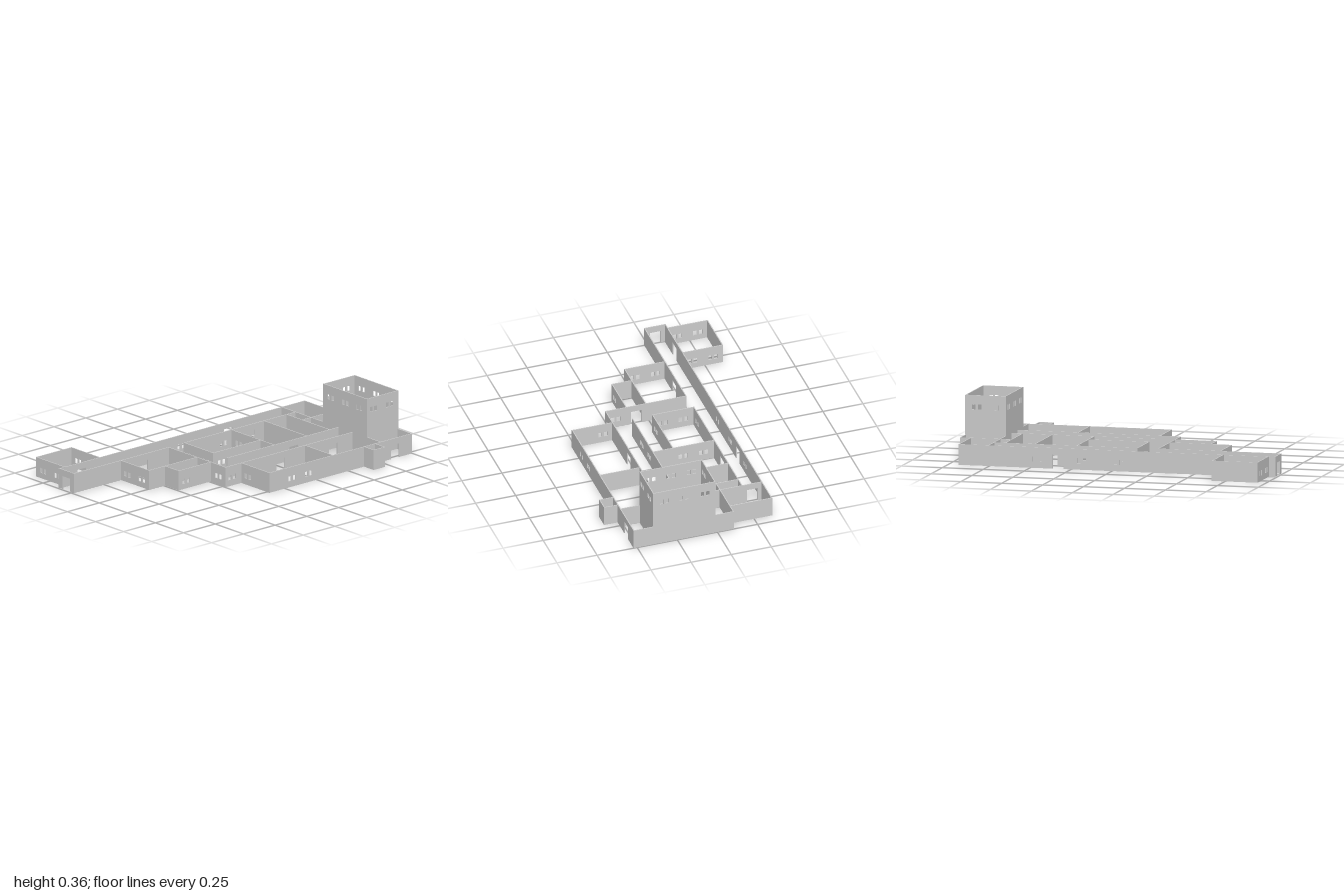
import * as THREE from 'three';

const T = 0.006;       // wall thickness
const H = 0.123;       // single storey wall height
const TOWER = 0.36;    // tower wall height
const material = new THREE.MeshStandardMaterial({ color: 0xcccccc, flatShading: true, side: THREE.DoubleSide });

// rectangular hole for one window
function windowHole(centre, y) {
  const w = 0.011, h = 0.015;
  return new THREE.Path([
    new THREE.Vector2(centre - w, y - h), new THREE.Vector2(centre - w, y + h),
    new THREE.Vector2(centre + w, y + h), new THREE.Vector2(centre + w, y - h),
  ]);
}

// upright wall along 'x' or 'z'; windows are centres of pairs, doors are centres of notches
function wall(name, axis, fixed, from, to, { windows = [], doors = [], top = H, base = 0, sill = 0.053 } = {}) {
  const shape = new THREE.Shape();
  const a = from - T / 2, b = to + T / 2;
  shape.moveTo(a, base);
  for (const d of [...doors].sort((p, q) => p - q)) {
    shape.lineTo(d - 0.033, base);
    shape.lineTo(d - 0.033, 0.085);
    shape.lineTo(d + 0.033, 0.085);
    shape.lineTo(d + 0.033, base);
  }
  shape.lineTo(b, base);
  shape.lineTo(b, top);
  shape.lineTo(a, top);
  shape.closePath();
  for (const c of windows) for (const s of [-0.0175, 0.0175]) shape.holes.push(windowHole(c + s, sill));
  const geometry = new THREE.ExtrudeGeometry(shape, { depth: T, bevelEnabled: false });
  geometry.translate(0, 0, -T / 2);
  const mesh = new THREE.Mesh(geometry, material);
  mesh.name = name;
  if (axis === 'x') {
    mesh.position.z = fixed;
  } else {
    mesh.rotation.y = -Math.PI / 2;
    mesh.position.x = fixed;
  }
  return mesh;
}

function section(name, ...walls) {
  const group = new THREE.Group();
  group.name = name;
  group.add(...walls);
  return group;
}

export function createModel() {
  const model = new THREE.Group();
  model.name = 'building';
  const front = { base: 0.005, top: 0.125 };
  const high = { top: TOWER, sill: 0.29 };

  // long corridor on the right side, with the main entrance at its front end
  model.add(section('longCorridor',
    wall('outerWall', 'z', -0.36, -0.935, 0.995, { windows: [-0.46, -0.185, 0.04], doors: [-0.33, 0.82] }),
    wall('innerWall', 'z', -0.237, -0.755, 0.12, { windows: [-0.185, 0.055], doors: [-0.4] }),
    wall('frontInnerWall', 'z', -0.23, 0.245, 0.995, { ...front, doors: [0.45] }),
    wall('entranceWall', 'x', 0.995, -0.36, -0.23, { ...front, doors: [-0.295] })));

  // front wing
  model.add(section('frontWing',
    wall('frontWall', 'x', 0.955, -0.608, -0.36, { ...front, windows: [-0.547, -0.42] }),
    wall('backWall', 'x', 0.68, -0.608, -0.36, { ...front, windows: [-0.547, -0.42] }),
    wall('sideWall', 'z', -0.608, 0.68, 0.955, front)));

  // stepped front rooms
  model.add(section('frontRooms',
    wall('largeRoomFront', 'x', 0.625, -0.23, 0.02, { ...front, windows: [-0.17, -0.043] }),
    wall('largeRoomSide', 'z', 0.02, 0.245, 0.625, front),
    wall('smallRoomFront', 'x', 0.5, 0.02, 0.142, front),
    wall('smallRoomSide', 'z', 0.142, 0.245, 0.5, { ...front, windows: [0.445] }),
    wall('crossCorridorFront', 'x', 0.245, -0.23, 0.27, { windows: [0.208], doors: [0.08] })));

  // rooms and light court between the corridors
  model.add(section('middleRooms',
    wall('courtFront', 'x', 0.12, -0.237, 0.02, { windows: [-0.17, -0.043] }),
    wall('courtSide', 'z', 0.02, -0.25, 0.12, { windows: [-0.185, 0.055] }),
    wall('courtBack', 'x', -0.25, -0.237, 0.145, { windows: [-0.17, -0.043] }),
    wall('partition', 'x', -0.505, -0.237, 0.145),
    wall('rearPartition', 'x', -0.685, -0.237, 0.145),
    wall('corridorWall', 'z', 0.145, -0.755, 0.12, { windows: [-0.185, -0.055], doors: [-0.4] })));

  // left side wing with a small porch
  model.add(section('leftWing',
    wall('innerWall', 'z', 0.27, -0.755, 0.245, { windows: [0.195], doors: [-0.6, -0.185] }),
    wall('outerWall', 'z', 0.52, -0.997, 0.12, { windows: [-0.185, -0.055], doors: [-0.865] }),
    wall('frontWall', 'x', 0.12, 0.27, 0.52, { windows: [0.33] }),
    wall('partition', 'x', -0.38, 0.27, 0.52)));
  model.add(section('porch',
    wall('frontWall', 'x', -0.625, 0.52, 0.605),
    wall('backWall', 'x', -0.71, 0.52, 0.605),
    wall('sideWall', 'z', 0.605, -0.71, -0.625)));

  // rear rooms on both sides of the tower
  model.add(section('rearRooms',
    wall('backWallRight', 'x', -0.935, -0.36, -0.1),
    wall('stepWall', 'z', -0.1, -0.997, -0.685),
    wall('backWallMiddle', 'x', -0.997, -0.1, 0.015),
    wall('backWallLeft', 'x', -0.997, 0.398, 0.52),
    wall('frontWallRight', 'x', -0.755, -0.36, 0.015, { doors: [-0.3] }),
    wall('frontWallLeft', 'x', -0.755, 0.398, 0.52)));

  // two storey tower
  const across = [0.078, 0.208, 0.331], along = [-0.93, -0.803];
  model.add(section('tower',
    wall('towerFront', 'x', -0.755, 0.015, 0.398, { ...high, windows: across, doors: [0.208] }),
    wall('towerBack', 'x', -0.997, 0.015, 0.398, { ...high, windows: across }),
    wall('towerRight', 'z', 0.015, -0.997, -0.755, { ...high, windows: along }),
    wall('towerLeft', 'z', 0.398, -0.997, -0.755, { ...high, windows: along })));

  return model;
}
